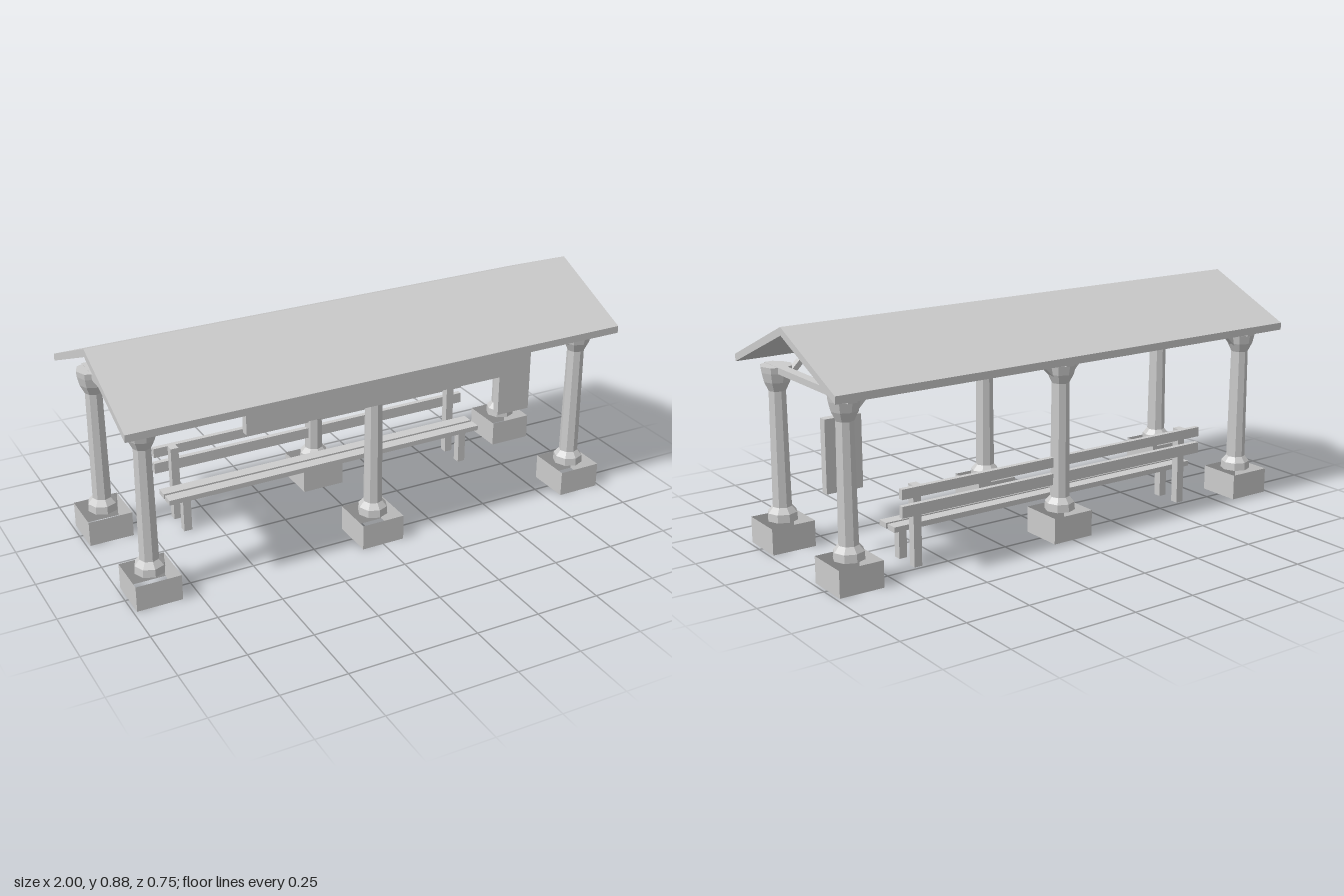
import * as THREE from 'three';

export function createModel() {
  const model = new THREE.Group();
  model.name = 'shelter';
  const grey = new THREE.MeshStandardMaterial({ color: 0xcccccc, flatShading: true, side: THREE.DoubleSide });
  grey.name = 'plain grey';

  const add = (name, geometry, parent = model) => {
    const mesh = new THREE.Mesh(geometry, grey);
    mesh.name = name;
    parent.add(mesh);
    return mesh;
  };
  // Box given by its lower and upper limits on each axis
  const block = (name, [x0, x1], [y0, y1], [z0, z1], parent) => {
    const mesh = add(name, new THREE.BoxGeometry(x1 - x0, y1 - y0, z1 - z0), parent);
    mesh.position.set((x0 + x1) / 2, (y0 + y1) / 2, (z0 + z1) / 2);
    return mesh;
  };

  // Gabled roof slab
  const gable = new THREE.Shape([
    [-0.375, 0.685], [0, 0.846], [0.375, 0.685], [0.375, 0.713], [0, 0.876], [-0.375, 0.713],
  ].map(([z, y]) => new THREE.Vector2(z, y)));
  const roof = new THREE.ExtrudeGeometry(gable, { depth: 2, bevelEnabled: false });
  roof.translate(0, 0, -1).rotateY(Math.PI / 2);
  add('roof', roof);

  // Eight-sided columns on hollow square footings
  const profile = [
    [0.058, 0.1], [0.056, 0.13], [0.037, 0.152], [0.033, 0.59],
    [0.05, 0.625], [0.058, 0.66], [0.06, 0.683], [0, 0.683],
  ].map(([r, y]) => new THREE.Vector2(r, y));
  const columnGeometry = new THREE.LatheGeometry(profile, 8);
  const footingGeometry = new THREE.CylinderGeometry(0.173 / Math.SQRT2, 0.173 / Math.SQRT2, 0.1, 4, 1, true);
  footingGeometry.rotateY(Math.PI / 4);
  const braceGeometry = new THREE.BoxGeometry(0.09, 0.02, 0.026);

  for (const x of [-0.9, 0, 0.9]) {
    for (const z of [-0.25, 0.25]) {
      const post = new THREE.Group();
      post.name = 'post';
      post.position.set(x, 0, z);
      model.add(post);
      add('column', columnGeometry, post);
      add('footing', footingGeometry, post).position.y = 0.05;
      // Short diagonal braces along the roof, only towards the inside at the ends
      for (const side of [-1, 1]) {
        if (side * x > 0) continue;
        const brace = add('brace', braceGeometry, post);
        brace.position.set(side * 0.063, 0.653, 0);
        brace.rotation.z = side * Math.PI / 4;
      }
    }
    block('crossBeam', [x - 0.018, x + 0.018], [0.66, 0.684], [-0.31, 0.31]);
  }

  // Hanging boards
  block('frontBoard', [-0.55, 0.55], [0.591, 0.677], [0.308, 0.34]);
  block('sidePanel', [0.7, 0.847], [0.251, 0.527], [-0.003, 0.03]);

  // Bench with two seat planks and two back rails
  const bench = new THREE.Group();
  bench.name = 'bench';
  model.add(bench);
  const span = [-0.688, 0.688];
  block('seatPlank', span, [0.131, 0.151], [-0.14, -0.093], bench);
  block('seatPlank', span, [0.131, 0.151], [-0.198, -0.151], bench);
  block('backRail', span, [0.2, 0.243], [-0.255, -0.235], bench);
  block('backRail', span, [0.268, 0.306], [-0.255, -0.235], bench);
  for (const x of [-0.615, 0.615]) {
    const width = [x - 0.016, x + 0.016];
    block('frontLeg', width, [0, 0.131], [-0.131, -0.099], bench);
    block('backLeg', width, [0, 0.306], [-0.235, -0.203], bench);
  }
  return model;
}
